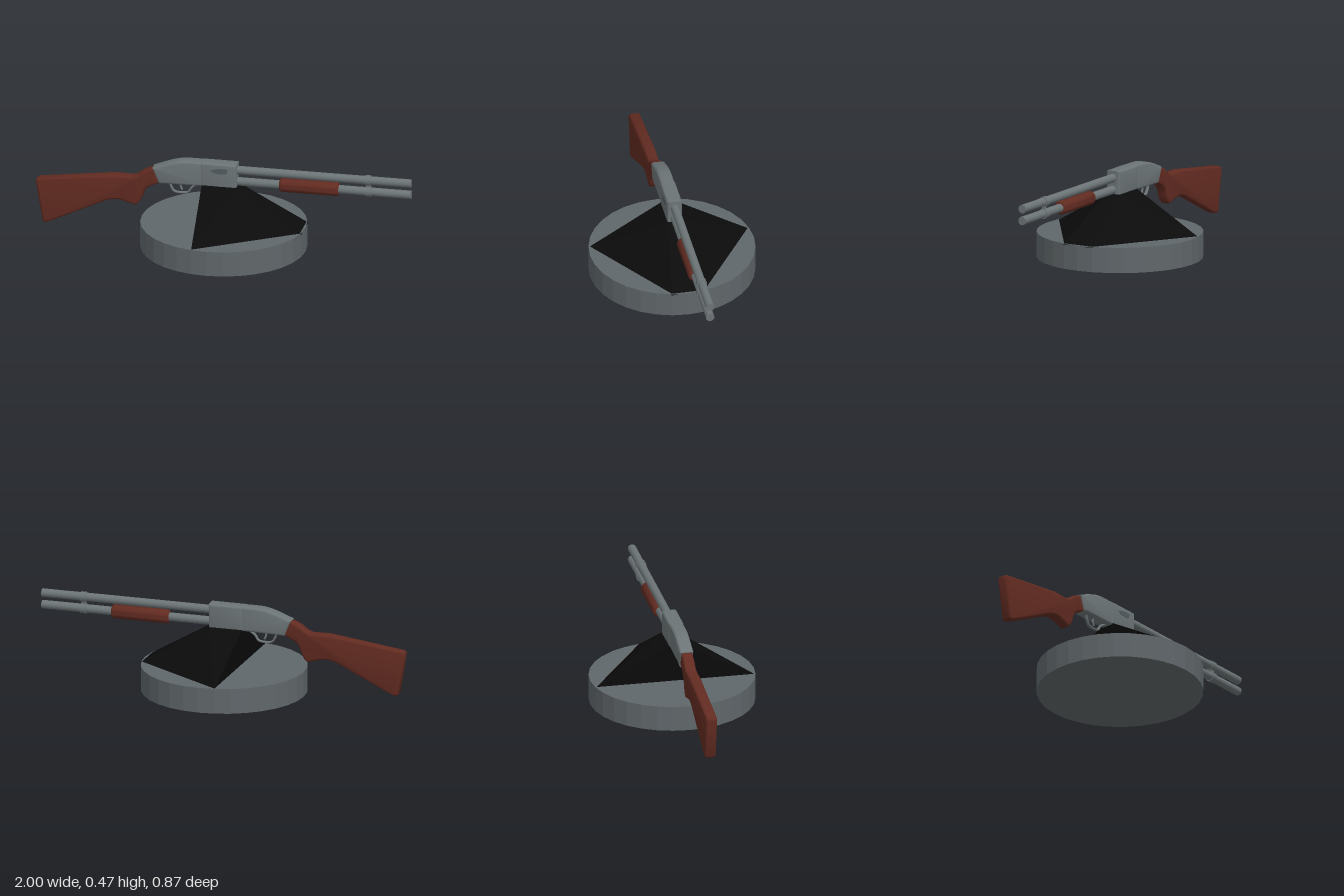
import * as THREE from 'three';
import { toCreasedNormals } from 'three/addons/utils/BufferGeometryUtils.js';
import { ConvexGeometry } from 'three/addons/geometries/ConvexGeometry.js';

const material = (name, color) => {
  const m = new THREE.MeshStandardMaterial({ color });
  m.name = name;
  return m;
};

export function createModel() {
  const group = new THREE.Group();
  const baseGrey = material('base grey', 0x60676a);
  const steel = material('gun steel', 0x6c7476);
  const darkSteel = material('dark steel', 0x545c60);
  const wood = material('red brown wood', 0x622b21);
  const black = material('black', 0x0b0b0b);

  const add = (name, geometry, mat) => {
    const mesh = new THREE.Mesh(geometry, mat);
    mesh.name = name;
    group.add(mesh);
    return mesh;
  };

  // Side profile extruded symmetrically in z with rounded edges
  const slab = (name, shape, halfWidth, bevel, mat) => {
    const depth = 2 * (halfWidth - bevel);
    const g = new THREE.ExtrudeGeometry(shape, {
      depth, curveSegments: 8, bevelEnabled: bevel > 0,
      bevelSize: bevel, bevelThickness: bevel, bevelOffset: -bevel, bevelSegments: 3,
    });
    g.translate(0, 0, -depth / 2);
    return add(name, toCreasedNormals(g, 0.6), mat);
  };

  // Cylinder along x, from x0 to x1
  const rod = (name, x0, x1, y, r, mat) => {
    const g = new THREE.CylinderGeometry(r, r, x1 - x0, 20);
    g.rotateZ(-Math.PI / 2);
    return add(name, g.translate((x0 + x1) / 2, y, 0), mat);
  };

  // Round base
  const disc = new THREE.CylinderGeometry(0.436, 0.436, 0.135, 32).toNonIndexed();
  disc.computeVertexNormals();
  add('base', disc.translate(0, 0.0675, 0), baseGrey);

  // Wedge pedestal between base and receiver
  const corners = [];
  for (const s of [-1, 1]) {
    corners.push(
      new THREE.Vector3(-0.085, 0.13, 0.427 * s), new THREE.Vector3(0.432, 0.13, 0.088 * s),
      new THREE.Vector3(-0.11, 0.345, 0.036 * s), new THREE.Vector3(0.075, 0.345, 0.036 * s));
  }
  add('pedestal', new ConvexGeometry(corners), black);

  // Receiver: square front block and tapering rear
  const front = new THREE.Shape();
  front.moveTo(-0.115, 0.338);
  front.lineTo(0.075, 0.335);
  front.lineTo(0.075, 0.468);
  front.lineTo(-0.115, 0.468);
  slab('receiverFront', front, 0.04, 0.012, steel);

  const rear = new THREE.Shape();
  rear.moveTo(-0.09, 0.337);
  rear.lineTo(-0.09, 0.468);
  rear.lineTo(-0.19, 0.468);
  rear.bezierCurveTo(-0.25, 0.467, -0.31, 0.44, -0.375, 0.415);
  rear.lineTo(-0.34, 0.332);
  slab('receiverRear', rear, 0.037, 0.012, steel);

  // Ejection port
  const port = new THREE.Shape();
  port.moveTo(-0.065, 0.43);
  port.quadraticCurveTo(-0.02, 0.45, 0.03, 0.442);
  port.lineTo(0.022, 0.418);
  port.quadraticCurveTo(-0.03, 0.405, -0.065, 0.43);
  const portGeometry = new THREE.ExtrudeGeometry(port, { depth: 0.002, bevelEnabled: false });
  add('ejectionPort', portGeometry.translate(0, 0, 0.0395), darkSteel);

  // Barrel, magazine tube, and their clamp rings
  for (const [name, y] of [['barrel', 0.43], ['magazineTube', 0.367]]) {
    rod(name, 0.06, 1, y, 0.0225, steel);
    rod(name + 'Ring', 0.757, 0.787, y, 0.027, steel);
  }
  const link = new THREE.BoxGeometry(0.022, 0.04, 0.016);
  add('ringLink', link.translate(0.772, 0.398, 0), steel);

  // Rounded pump grip
  const gripProfile = [[0, 0], [0.028, 0], [0.034, 0.004], [0.037, 0.012],
    [0.037, 0.303], [0.034, 0.311], [0.028, 0.315], [0, 0.315]]
    .map(([r, h]) => new THREE.Vector2(r, h));
  const grip = toCreasedNormals(new THREE.LatheGeometry(gripProfile, 24), 0.7);
  grip.rotateZ(-Math.PI / 2);
  add('pumpGrip', grip.translate(0.3, 0.367, 0), wood);

  // Shoulder stock
  const stock = new THREE.Shape();
  stock.moveTo(-0.962, 0.07);
  stock.lineTo(-0.998, 0.285);
  stock.quadraticCurveTo(-0.999, 0.302, -0.982, 0.305);
  stock.lineTo(-0.58, 0.357);
  stock.lineTo(-0.495, 0.355);
  stock.quadraticCurveTo(-0.465, 0.355, -0.435, 0.383);
  stock.quadraticCurveTo(-0.41, 0.4, -0.368, 0.414);
  stock.lineTo(-0.335, 0.335);
  stock.lineTo(-0.395, 0.305);
  stock.quadraticCurveTo(-0.422, 0.285, -0.43, 0.25);
  stock.quadraticCurveTo(-0.44, 0.215, -0.465, 0.198);
  stock.lineTo(-0.545, 0.22);
  stock.quadraticCurveTo(-0.59, 0.225, -0.63, 0.207);
  stock.lineTo(-0.93, 0.065);
  stock.quadraticCurveTo(-0.955, 0.055, -0.962, 0.07);
  slab('stock', stock, 0.03, 0.012, wood);

  // Trigger guard and trigger
  const tube = (name, points, radius, closed) => {
    const curve = new THREE.CatmullRomCurve3(points.map(([x, y]) => new THREE.Vector3(x, y, 0)));
    return add(name, new THREE.TubeGeometry(curve, 28, radius, 8, closed), steel);
  };
  const guard = tube('triggerGuard', [[-0.29, 0.345], [-0.28, 0.31], [-0.262, 0.285],
    [-0.225, 0.28], [-0.19, 0.286], [-0.168, 0.315], [-0.125, 0.342]], 0.006, false);
  guard.scale.z = 1.6;
  tube('trigger', [[-0.225, 0.345], [-0.23, 0.318], [-0.222, 0.296]], 0.006, false);

  return group;
}
